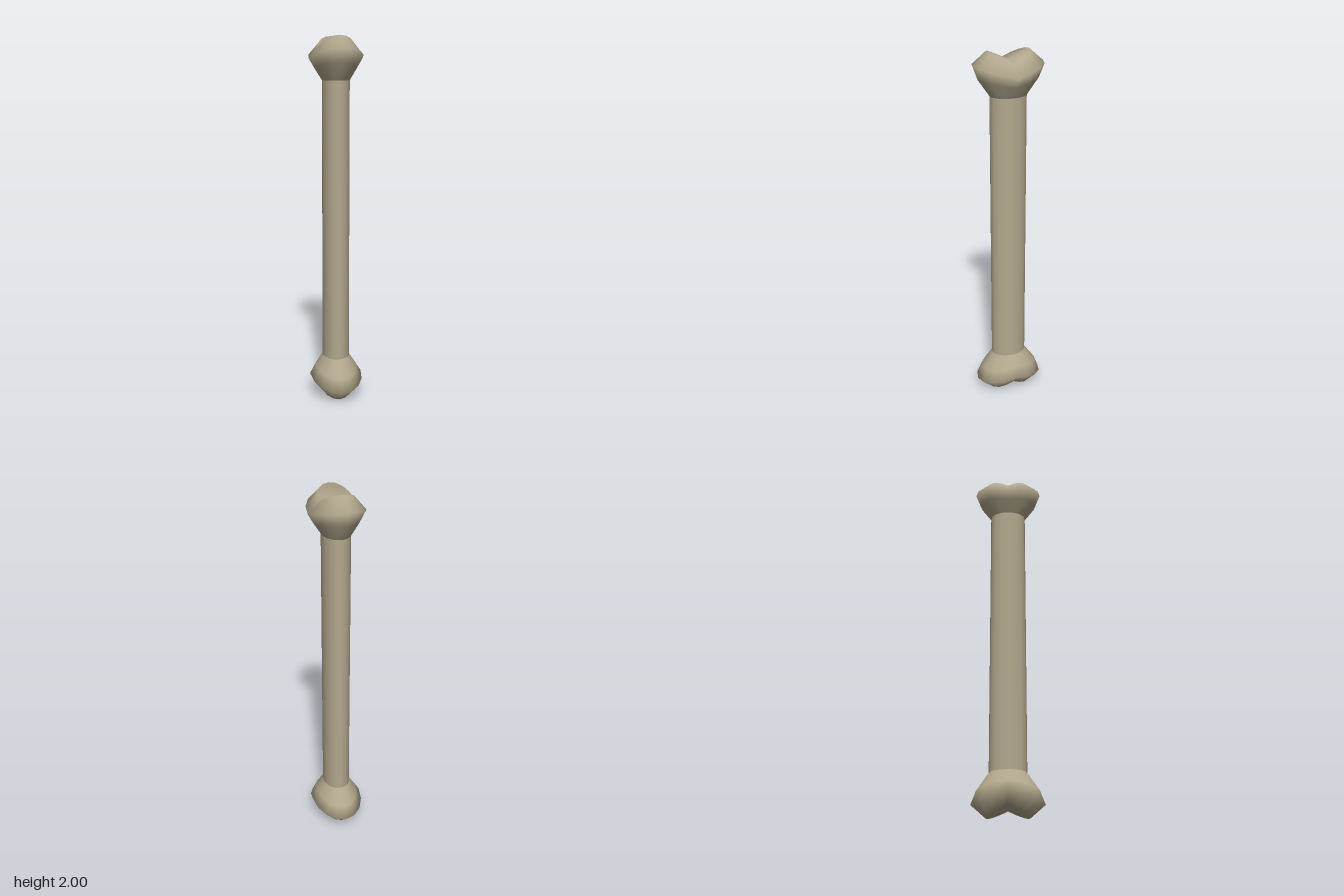
import * as THREE from 'three';

const SIDES = 16;

// Smooth knobbly end: elliptical rings that rise towards both +z and -z,
// closed by a low centre point so a valley runs between two lobes.
function endGeometry() {
  const rings = [
    // rx, rz, height at the valley, extra height at the lobes
    { rx: 0.074, rz: 0.099, y: 1.768, lift: 0 },
    { rx: 0.115, rz: 0.163, y: 1.83, lift: 0.03 },
    { rx: 0.146, rz: 0.19, y: 1.882, lift: 0.05 },
    { rx: 0.09, rz: 0.112, y: 1.945, lift: 0.055 },
  ];
  const positions = [];
  const indices = [];
  for (const r of rings) {
    for (let i = 0; i < SIDES; i++) {
      const a = (i / SIDES) * Math.PI * 2;
      const s = Math.sin(a);
      positions.push(Math.cos(a) * r.rx, r.y + r.lift * Math.abs(s), s * r.rz);
    }
  }
  const centre = rings.length * SIDES;
  positions.push(0, 1.955, 0);
  for (let j = 0; j < rings.length; j++) {
    for (let i = 0; i < SIDES; i++) {
      const n = (i + 1) % SIDES;
      const a = j * SIDES + i;
      const b = j * SIDES + n;
      if (j === rings.length - 1) indices.push(a, centre, b);
      else indices.push(a, a + SIDES, b, b, a + SIDES, b + SIDES);
    }
  }
  const geometry = new THREE.BufferGeometry();
  geometry.setAttribute('position', new THREE.Float32BufferAttribute(positions, 3));
  geometry.setIndex(indices);
  geometry.computeVertexNormals();
  return geometry;
}

export function createModel() {
  const model = new THREE.Group();
  model.name = 'bone';
  const boneColour = new THREE.MeshStandardMaterial({ color: 0xb3a88e });
  boneColour.name = 'bone';

  // Straight oval shaft
  const shaftGeometry = new THREE.CylinderGeometry(1, 1, 1.536, SIDES, 1, true);
  shaftGeometry.scale(0.074, 1, 0.099);
  const shaft = new THREE.Mesh(shaftGeometry, boneColour);
  shaft.name = 'shaft';
  shaft.position.y = 1;
  model.add(shaft);

  // Two-lobed ends, the lower one turned over
  const head = endGeometry();
  const upperEnd = new THREE.Mesh(head, boneColour);
  upperEnd.name = 'upperEnd';
  const lowerEnd = new THREE.Mesh(head, boneColour);
  lowerEnd.name = 'lowerEnd';
  lowerEnd.rotation.x = Math.PI;
  lowerEnd.position.y = 2;
  model.add(upperEnd, lowerEnd);

  return model;
}
